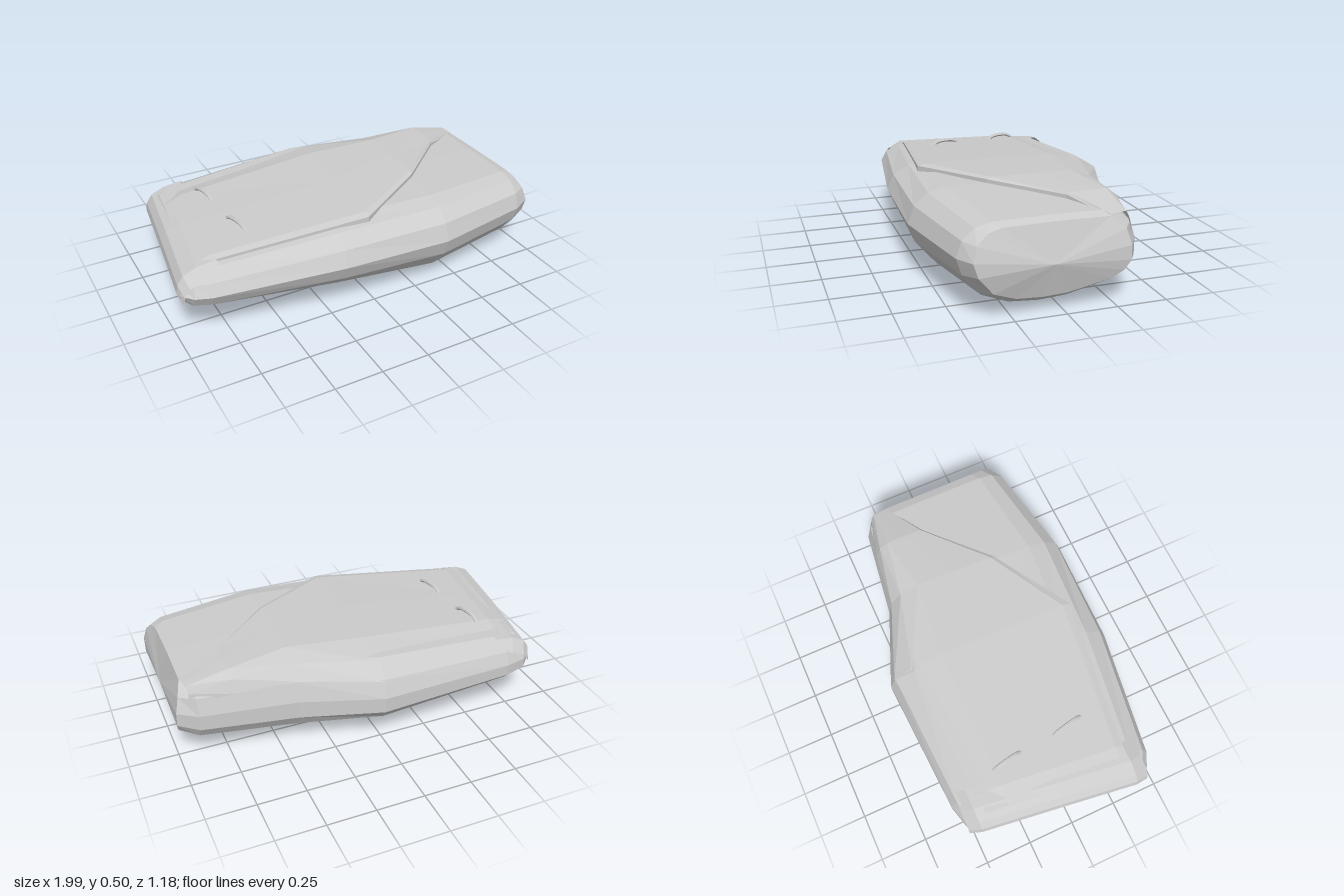
import * as THREE from 'three';

const material = new THREE.MeshStandardMaterial({ color: 0xcccccc, flatShading: true, side: THREE.DoubleSide });

// Skin a list of cross-sections, each a list of [x, y, z] running front to back.
function loft(name, rings, closed) {
  const n = rings[0].length, index = [];
  for (let i = 0; i < rings.length - 1; i++) {
    for (let j = 0; j < (closed ? n : n - 1); j++) {
      const a = i * n + j, b = i * n + (j + 1) % n;
      index.push(a, a + n, b, b, a + n, b + n);
    }
  }
  const geometry = new THREE.BufferGeometry();
  geometry.setAttribute('position', new THREE.Float32BufferAttribute(rings.flat(2), 3));
  geometry.setIndex(index);
  geometry.computeVertexNormals();
  const mesh = new THREE.Mesh(geometry, material);
  mesh.name = name;
  return mesh;
}

const lerp = THREE.MathUtils.lerp;

// Padded bag body: one rounded profile scaled along slanted stations
function makeBody() {
  // u: back to front, v: bottom to top
  const profile = [
    [1, 0.62], [0.97, 0.82], [0.9, 0.95], [0.81, 1], [0.46, 1.01], [0.12, 1], [0.03, 0.84],
    [0, 0.62], [0, 0.42], [0.04, 0.28], [0.12, 0.17], [0.39, 0.02], [0.55, 0], [0.72, 0.03],
    [0.87, 0.16], [0.97, 0.42],
  ];
  // back x, back z, front x, front z, bottom y, top y, end bulge
  const stations = [
    [-0.835, -0.49, -0.96, 0.39, 0.19, 0.35, -0.03],
    [-0.8, -0.53, -0.92, 0.44, 0.12, 0.385, -0.015],
    [-0.7, -0.56, -0.86, 0.475, 0.11, 0.4, 0],
    [0.02, -0.595, -0.2, 0.57, 0.05, 0.455, 0],
    [0.42, -0.44, 0.38, 0.585, 0.003, 0.465, 0],
    [0.9, -0.37, 0.9, 0.49, 0.045, 0.445, 0],
    [0.95, -0.31, 0.95, 0.44, 0.08, 0.43, 0.05],
  ];
  const rings = stations.map(([bx, bz, fx, fz, y0, y1, bulge]) => profile.map(([u, v]) => [
    lerp(bx, fx, u) + bulge * (1 - (2 * v - 1) ** 2), lerp(y0, y1, v), lerp(bz, fz, u),
  ]));
  // Close both ends with a central point
  rings.unshift(profile.map(() => [-0.935, 0.28, -0.05]));
  rings.push(profile.map(() => [1, 0.25, 0.06]));
  return loft('body', rings, true);
}

// Cover flap with a diagonal front edge and a raised lip
function makeFlap() {
  // back x, back z, front x, front z, top y
  const rows = [
    [-0.8, -0.51, -0.9, 0.34, 0.39],
    [-0.7, -0.53, -0.8, 0.345, 0.42],
    [0.02, -0.565, -0.01, 0.44, 0.483],
    [0.42, -0.415, 0.4, 0.19, 0.5],
    [0.72, -0.38, 0.72, -0.1, 0.487],
    [0.93, -0.335, 0.945, -0.22, 0.44],
  ];
  // t: back to front, drop below the top
  const section = [[1, 0.05], [1, 0.013], [0.96, 0.003], [0.6, 0], [0.27, 0], [0.1, 0.035], [0, 0.1]];
  return loft('coverFlap', rows.map(([bx, bz, fx, fz, y]) =>
    section.map(([t, drop]) => [lerp(bx, fx, t), y - drop, lerp(bz, fz, t)])), false);
}

// Hem folded over the slanted end
function makeHem() {
  const section = [[-0.79, 0.413], [-0.89, 0.402], [-0.96, 0.372], [-0.99, 0.33], [-0.998, 0.29]];
  // z, drop, inset
  const rows = [
    [-0.53, 0.06, 0.02], [-0.47, 0.01, 0], [-0.05, 0, 0], [0.35, 0.005, 0], [0.42, 0.04, 0.02],
  ];
  return loft('endHem', rows.map(([z, drop, inset]) =>
    section.map(([x, y]) => [x + inset + (0.38 - z) * 0.14, y - drop, z])), false);
}

// Small arched strap loop between two points on the flap
function makeLoop(x0, z0, x1, z1) {
  const y = 0.425, top = 0.447;
  const curve = new THREE.CatmullRomCurve3([
    new THREE.Vector3(x0, y, z0),
    new THREE.Vector3(lerp(x0, x1, 0.2), top, lerp(z0, z1, 0.2)),
    new THREE.Vector3(lerp(x0, x1, 0.8), top, lerp(z0, z1, 0.8)),
    new THREE.Vector3(x1, y, z1),
  ]);
  const mesh = new THREE.Mesh(new THREE.TubeGeometry(curve, 10, 0.01, 6), material);
  mesh.name = 'strapLoop';
  return mesh;
}

export function createModel() {
  const group = new THREE.Group();
  group.name = 'bag';
  group.add(makeBody(), makeFlap(), makeHem(),
    makeLoop(-0.645, -0.3, -0.615, -0.14), makeLoop(-0.61, 0.05, -0.575, 0.22));
  return group;
}
